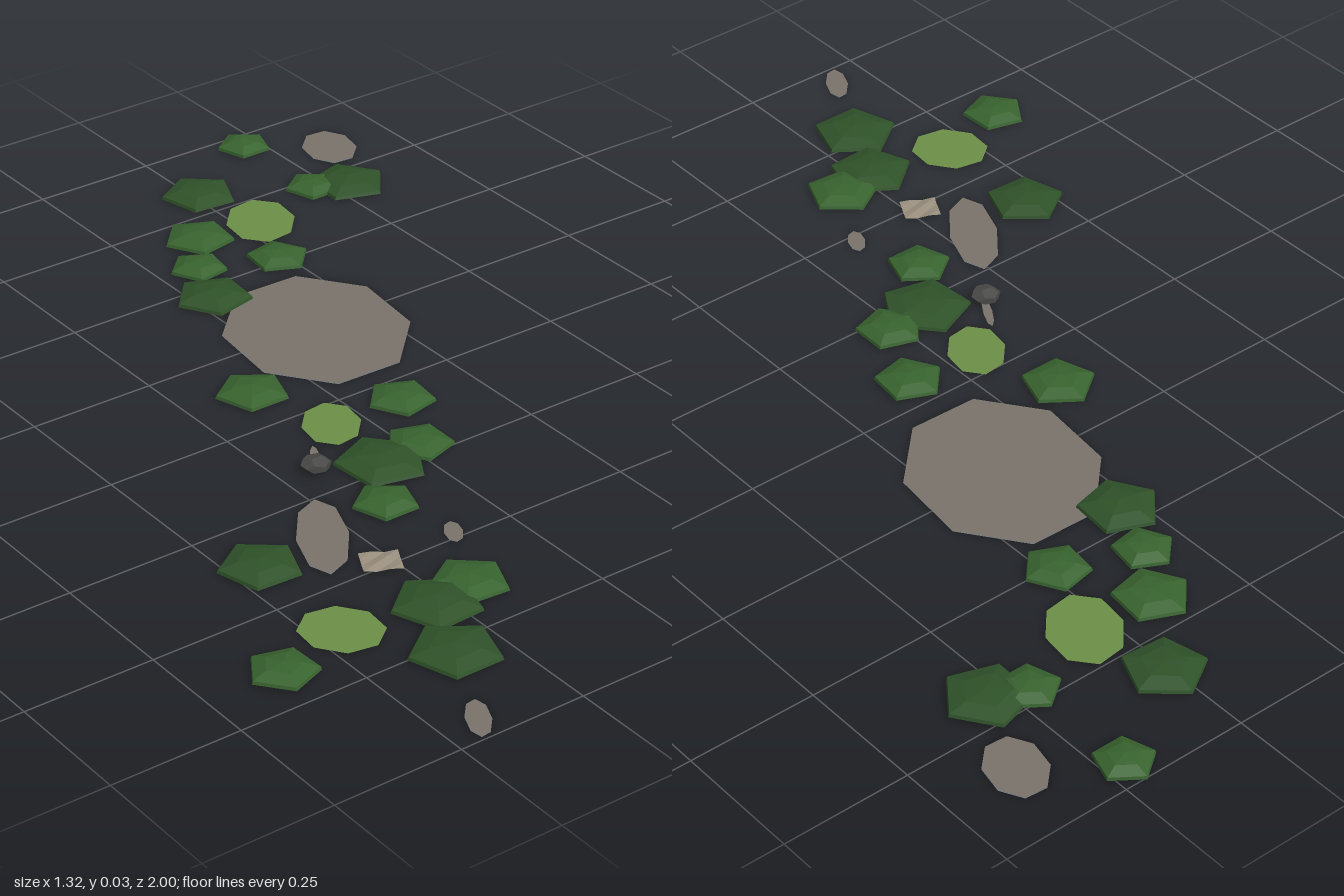
import * as THREE from 'three';

const mat = (color) => new THREE.MeshStandardMaterial({ color, flatShading: true, side: THREE.DoubleSide });

// Flat eight-sided patch spanned by two half-axis vectors
function patch(name, material, [x, z, ax, az, bx, bz], y) {
  const shape = new THREE.Shape();
  for (let i = 0; i < 8; i++) {
    const c = Math.cos(i * Math.PI / 4), s = Math.sin(i * Math.PI / 4);
    const px = ax * c + bx * s, pz = az * c + bz * s;
    if (i) shape.lineTo(px, -pz); else shape.moveTo(px, -pz);
  }
  const mesh = new THREE.Mesh(new THREE.ShapeGeometry(shape), material);
  mesh.rotation.x = -Math.PI / 2;
  mesh.position.set(x, y, z);
  mesh.name = name;
  return mesh;
}

export function createModel() {
  const group = new THREE.Group();
  const mud = mat(0x7a736b), water = mat(0x687783), moss = mat(0x6b8f47);
  const darkLeaf = mat(0x2f5229), leaf = mat(0x38632f);

  // Muddy puddles: x, z, then the two half axes; a water film lies just beneath
  const puddles = [
    [0.125, -0.24, -0.048, -0.196, 0.177, -0.077],
    [0.603, -0.847, -0.008, -0.069, 0.058, -0.024],
    [-0.302, 0.36, 0.011, -0.087, 0.074, -0.063],
    [-0.425, 0.948, 0.008, -0.042, 0.032, -0.021],
    [-0.111, 0.482, 0, -0.026, 0.022, -0.016],
    [-0.158, 0.143, 0.008, -0.028, 0.022, -0.027],
  ];
  for (const p of puddles) {
    group.add(patch('puddleMud', mud, p, 0.001));
    group.add(patch('puddleWater', water, p, 0));
  }

  // Light moss patches
  const mosses = [
    [0.296, -0.661, -0.019, -0.077, 0.074, -0.042],
    [-0.064, 0.063, -0.013, -0.063, 0.061, -0.034],
    [-0.45, 0.614, -0.021, -0.074, 0.069, -0.016],
  ];
  for (const p of mosses) group.add(patch('mossPatch', moss, p, 0.002));

  // Low five-sided plant clumps: x, z, radius, turn
  const clumps = [
    [0.46, -0.95, 0.056, 0], [0.26, -0.823, 0.077, 0.08], [0.152, -0.67, 0.072, -0.2],
    [0.081, -0.568, 0.058, -0.15], [0.231, -0.511, 0.063, 0.44], [0.037, -0.455, 0.077, -0.23],
    [0.466, -0.717, 0.058, 0], [0.533, -0.688, 0.081, 0.33], [-0.115, -0.112, 0.071, 0],
    [0.09, 0.068, 0.066, -0.2], [-0.074, 0.227, 0.088, 0.23], [0.02, 0.214, 0.065, -0.3],
    [-0.151, 0.34, 0.062, 0], [-0.447, 0.378, 0.077, 0.05], [-0.6, 0.656, 0.064, -0.36],
    [-0.277, 0.647, 0.083, -0.05], [-0.19, 0.627, 0.073, 0.08], [-0.339, 0.778, 0.084, 0],
  ];
  const profile = [[0, 0.003], [1, 0.003], [0.97, 0.009], [0.55, 0.018], [0, 0.022]]
    .map(([r, y]) => new THREE.Vector2(r, y));
  const clumpGeometry = new THREE.LatheGeometry(profile, 5);
  for (const [x, z, r, turn] of clumps) {
    const clump = new THREE.Mesh(clumpGeometry, r > 0.08 || r === 0.077 ? darkLeaf : leaf);
    clump.position.set(x, 0, z);
    clump.scale.set(r, 1, r);
    clump.rotation.y = Math.PI - turn;
    clump.name = 'plantClump';
    group.add(clump);
  }

  // Crumpled thin scrap
  const scrapGeometry = new THREE.PlaneGeometry(0.07, 0.06, 3, 3).rotateX(-Math.PI / 2);
  const pos = scrapGeometry.attributes.position;
  for (let i = 0; i < pos.count; i++) pos.setY(i, 0.004 + 0.002 * Math.sin(i * 2.3));
  const scrap = new THREE.Mesh(scrapGeometry, mat(0x9a8f7e));
  scrap.position.set(-0.272, 0, 0.487);
  scrap.rotation.y = -0.47;
  scrap.name = 'scrap';
  group.add(scrap);

  // Small dark stone
  const stone = new THREE.Mesh(new THREE.DodecahedronGeometry(0.029), mat(0x4a4a48));
  stone.scale.y = 0.45;
  stone.position.set(-0.18, 0.014, 0.175);
  stone.name = 'stone';
  group.add(stone);

  return group;
}
